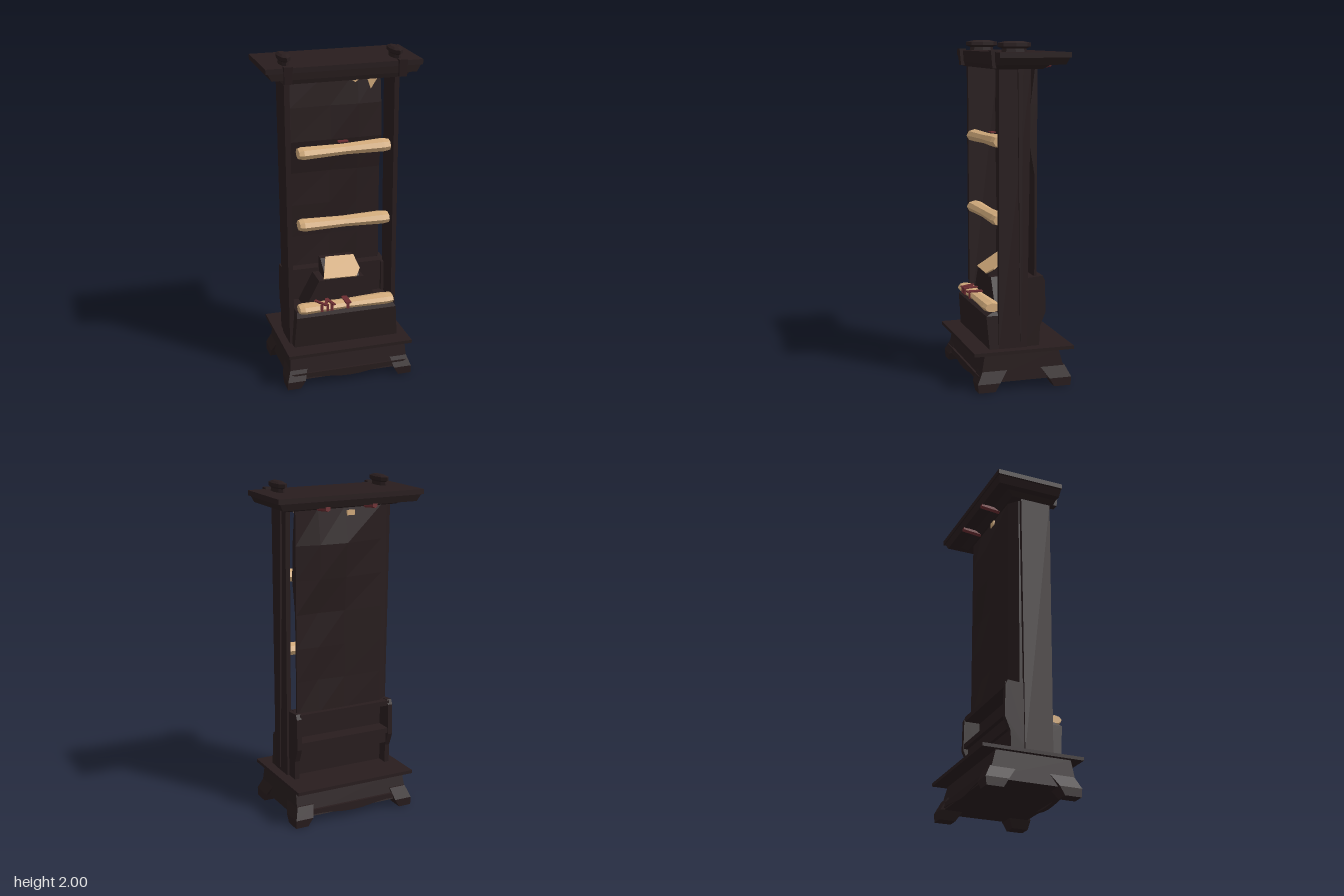
import * as THREE from 'three';

const mat = (name, color) => {
  const m = new THREE.MeshStandardMaterial({ color });
  m.name = name;
  return m;
};

export function createModel() {
  const model = new THREE.Group();
  model.name = 'scrollCabinet';
  const wood = mat('darkWood', 0x281d1e);
  const paper = mat('parchment', 0xd1aa7b);
  const ribbon = mat('redRibbon', 0x6b2d31);
  paper.side = ribbon.side = THREE.DoubleSide;

  // Faceted mesh with hard edges
  const add = (name, geo, material = wood) => {
    const g = geo.index ? geo.toNonIndexed() : geo;
    g.computeVertexNormals();
    const mesh = new THREE.Mesh(g, material);
    mesh.name = name;
    model.add(mesh);
    return mesh;
  };

  // Box given by its limits
  const box = (name, x0, x1, y0, y1, z0, z1, material) =>
    add(name, new THREE.BoxGeometry(x1 - x0, y1 - y0, z1 - z0)
      .translate((x0 + x1) / 2, (y0 + y1) / 2, (z0 + z1) / 2), material);

  // Tapered block: bottom and top rectangles as [x0, x1, z0, z1]
  const taper = (name, y0, y1, bottom, top, material) => {
    const g = new THREE.BoxGeometry(1, 1, 1);
    const p = g.attributes.position;
    for (let i = 0; i < p.count; i++) {
      const up = p.getY(i) > 0, r = up ? top : bottom;
      p.setXYZ(i, r[p.getX(i) > 0 ? 1 : 0], up ? y1 : y0, r[p.getZ(i) > 0 ? 3 : 2]);
    }
    return add(name, g, material);
  };

  // Side profile of [z, y] points drawn out along x
  const alongX = (name, points, x0, x1, material) => {
    const shape = new THREE.Shape(points.map(([z, y]) => new THREE.Vector2(z, y)));
    const g = new THREE.ExtrudeGeometry(shape, { depth: x1 - x0, bevelEnabled: false });
    return add(name, g.rotateY(-Math.PI / 2).translate(x1, 0, 0), material);
  };

  // Plinth with a wavy lower edge on front and back, splayed feet and a ledge
  taper('plinth', 0.05, 0.215, [-0.37, 0.37, -0.26, 0.265], [-0.36, 0.36, -0.215, 0.235]);
  for (const s of [1, -1]) {
    const apron = new THREE.Shape();
    apron.moveTo(-0.36, 0.09);
    apron.lineTo(-0.31, 0.06);
    apron.bezierCurveTo(-0.15, 0.07, -0.12, 0.04, 0, 0.04);
    apron.bezierCurveTo(0.12, 0.04, 0.15, 0.07, 0.31, 0.06);
    apron.lineTo(0.36, 0.09);
    const g = new THREE.ExtrudeGeometry(apron, { depth: 0.03, bevelEnabled: false, curveSegments: 5 });
    add('apron', g.translate(0, 0, s > 0 ? 0.24 : -0.265));
    for (const t of [1, -1]) {
      const span = (a, b, k) => [Math.min(a * k, b * k), Math.max(a * k, b * k)];
      const rect = (xa, xb, za, zb) => [...span(xa, xb, s), ...span(za, zb, t)];
      taper('footPad', 0, 0.05, rect(0.31, 0.39, 0.18, 0.28), rect(0.28, 0.39, 0.15, 0.285));
      taper('footKnee', 0.05, 0.12, rect(0.28, 0.39, 0.15, 0.285), rect(0.26, 0.365, 0.1, 0.25));
    }
  }
  box('ledge', -0.385, 0.385, 0.215, 0.235, -0.303, 0.303);

  // Front drawer block below the open niche
  taper('drawerBlock', 0.235, 0.43, [-0.325, 0.325, -0.03, 0.195], [-0.31, 0.31, -0.03, 0.21]);
  taper('drawerTop', 0.43, 0.45, [-0.31, 0.31, -0.03, 0.21], [-0.3, 0.3, -0.03, 0.17]);

  // Side panels, with a loose splinter standing off the left one
  taper('rightSide', 0.235, 1.86, [-0.338, -0.31, -0.03, 0.14], [-0.35, -0.318, -0.05, 0.14]);
  taper('leftSide', 0.235, 1.86, [0.302, 0.328, -0.03, 0.14], [0.302, 0.33, -0.05, 0.14]);
  taper('splinter', 0.28, 1.85, [0.352, 0.358, 0.01, 0.02], [0.325, 0.34, 0, 0.03]);

  // Crumpled back panel: bulges in its upper middle, folds forward to the right side
  const columns = [-0.322, -0.265, -0.02, 0.15, 0.292];
  const frontZ = [-0.085, -0.088, -0.085, -0.085, -0.05, -0.06, -0.085];
  const backZ = [-0.11, -0.1, -0.105, -0.1, -0.125, -0.138, -0.1];
  const panel = new THREE.BoxGeometry(4, 6, 1, 4, 6, 1);
  const pp = panel.attributes.position;
  for (let i = 0; i < pp.count; i++) {
    const col = Math.round(pp.getX(i) + 2), row = Math.round(pp.getY(i) + 3);
    const front = pp.getZ(i) > 0, middle = col === 2 || col === 3;
    let z = front ? frontZ[row] : middle ? backZ[row] : -0.1;
    if (middle && row % 2) z += col === 2 ? -0.006 : 0.006;
    if (col === 0) z = front ? -0.03 : -0.055;
    pp.setXYZ(i, columns[col], 0.63 + row * 0.203, z);
  }
  add('backPanel', panel);

  // Open shelves at the lower rear
  for (const c of [0.285, -0.33]) {
    alongX('rearCheek', [[0, 0.235], [0, 0.64], [-0.13, 0.65], [-0.145, 0.62], [-0.148, 0.43],
      [-0.115, 0.35], [-0.11, 0.235]], c, c + 0.03);
  }
  box('rearInnerWall', -0.312, 0.303, 0.235, 0.64, -0.045, -0.02);
  box('rearTop', -0.31, 0.29, 0.615, 0.645, -0.14, -0.02);
  box('rearShelf', -0.31, 0.29, 0.44, 0.47, -0.145, -0.02);
  box('rearRail', -0.31, 0.29, 0.37, 0.44, -0.12, -0.1);

  // Stepped cornice
  taper('corniceNeck', 1.845, 1.875, [-0.355, 0.355, -0.11, 0.16], [-0.385, 0.385, -0.16, 0.168]);
  taper('cornice', 1.87, 1.915, [-0.425, 0.425, -0.225, 0.168], [-0.45, 0.45, -0.24, 0.172]);
  box('corniceTop', -0.46, 0.46, 1.91, 1.94, -0.245, 0.172);

  // Long finials on the cornice, with a small bracket in front of each
  for (const s of [1, -1]) {
    const lathe = new THREE.LatheGeometry([[0, 1.935], [0.028, 1.935], [0.026, 1.96], [0.036, 1.97],
      [0.036, 1.99], [0.02, 2], [0, 2]].map(([r, y]) => new THREE.Vector2(r, y)), 8);
    add('finial', lathe.scale(1, 1, 2.75).translate(s * 0.33, 0, 0.05));
    taper('finialBracket', 1.85, 1.95, [s * 0.335 - 0.022, s * 0.335 + 0.022, 0.15, 0.185],
      [s * 0.335 - 0.025, s * 0.335 + 0.025, 0.155, 0.195]);
  }

  // Flattened scrolls lying across the niche
  const scroll = (x0, x1, y, z, r, depth, tilt, turn) => {
    const h = (x1 - x0) / 2;
    const profile = [[0, -h], [r * 0.8, -h], [r, -h * 0.9], [r * 0.85, 0], [r * 1.05, h * 0.85], [r * 0.9, h], [0, h]];
    const g = new THREE.LatheGeometry(profile.map(([a, b]) => new THREE.Vector2(a, b)), 8)
      .rotateZ(-Math.PI / 2).scale(1, 1, depth / r);
    const m = add('scroll', g, paper);
    m.position.set((x0 + x1) / 2, y, z);
    m.rotation.set(0, turn, tilt);
  };
  scroll(-0.27, 0.28, 1.43, 0.115, 0.038, 0.054, 0.015, 0.02);
  scroll(-0.27, 0.28, 0.985, 0.115, 0.037, 0.054, -0.01, 0.02);
  scroll(-0.29, 0.295, 0.475, 0.172, 0.03, 0.052, 0, 0.02);

  // Sloping rest with a sheet lying on it
  taper('sheetRest', 0.45, 0.62, [-0.24, 0.22, -0.03, 0.13], [-0.15, 0.13, -0.03, 0.13]);
  alongX('sheetSlope', [[0.135, 0.615], [0.135, 0.628], [0.015, 0.718], [-0.03, 0.718], [-0.03, 0.615]], -0.11, 0.1);
  const sheet = (points) => add('sheet', new THREE.ExtrudeGeometry(
    new THREE.Shape(points.map(([x, y]) => new THREE.Vector2(x, y))),
    { depth: 0.008, bevelEnabled: false }), paper);
  const lying = sheet([[-0.125, 0], [0.08, -0.005], [0.112, 0.045], [0.095, 0.145], [-0.08, 0.15]]);
  lying.position.set(0, 0.632, 0.138);
  lying.rotation.x = -0.92;

  // Torn sheet hanging against the back panel
  const hanging = sheet([[-0.28, 1.828], [0.03, 1.822], [0.05, 1.802], [0.1, 1.795], [0.13, 1.775], [0.17, 1.805],
    [0.2, 1.8], [0.225, 1.73], [0.27, 1.8], [0.285, 1.84], [-0.28, 1.84]]);
  hanging.position.z = -0.064;
  box('rearSheet', -0.08, -0.03, 1.8, 1.83, -0.116, -0.108, paper);

  // Ribbons over the lower scroll and a loose tie on the upper one
  for (const [x, turn, w] of [[-0.16, 0.5, 0.009], [-0.125, -0.35, 0.009], [-0.1, 0.25, 0.009], [0, 0, 0.017]]) {
    const m = box('ribbon', -w, w, -0.004, 0.004, -0.05, 0.048, ribbon);
    m.position.set(x, 0.509, 0.195);
    m.rotation.y = turn;
    box('ribbonEnd', x - 0.008, x + 0.008, 0.465, 0.509, 0.223, 0.229, ribbon);
  }
  box('upperTie', -0.02, 0.04, 1.464, 1.471, 0.07, 0.1, ribbon);

  // Slanting pegs under the rear of the cornice
  for (const x of [0.15, -0.15]) {
    add('rearPeg', new THREE.CylinderGeometry(0.017, 0.017, 0.12, 6)
      .rotateX(-Math.PI / 2 + 0.1).translate(x, 1.86, -0.168), ribbon);
  }

  return model;
}
